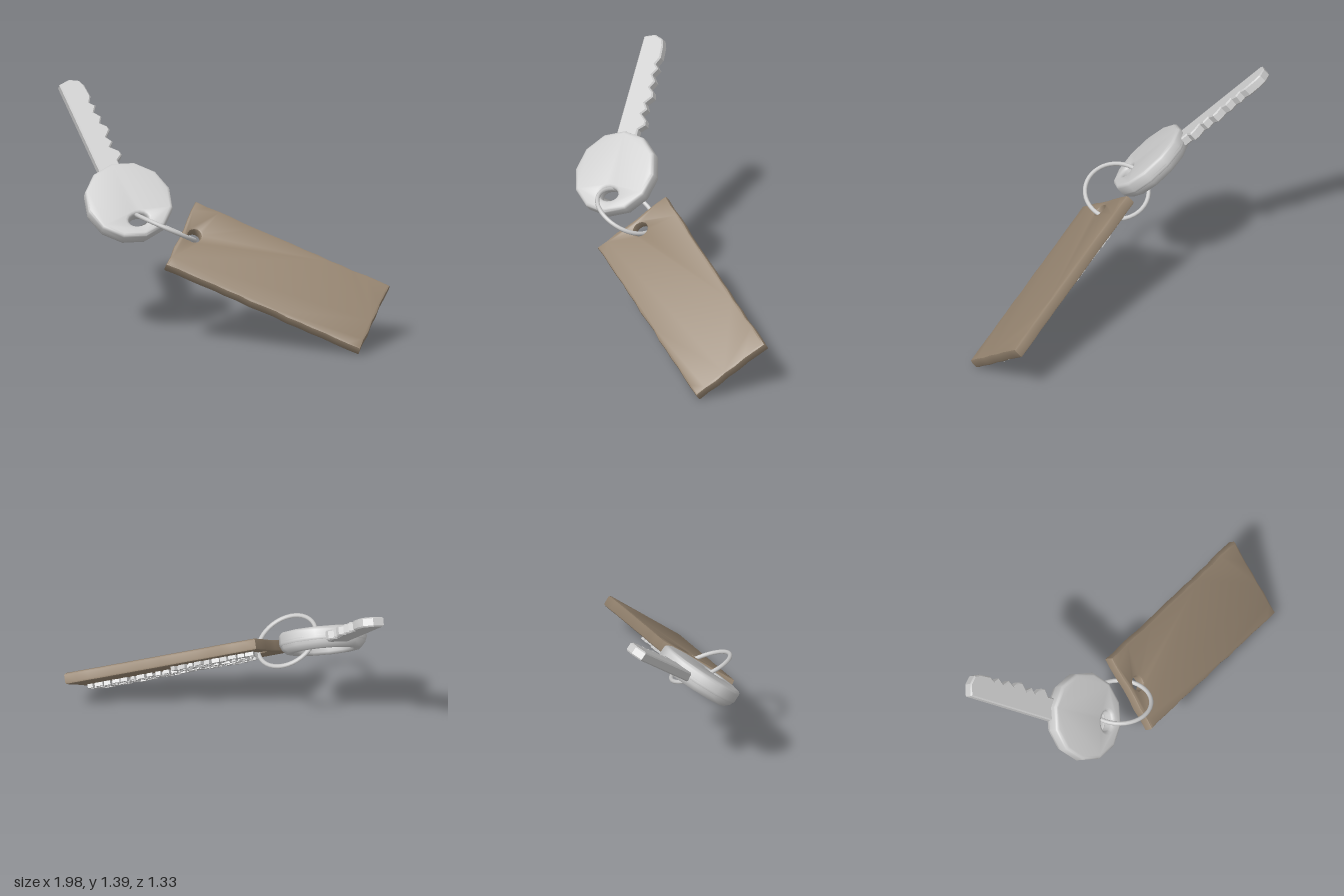
import * as THREE from 'three';
import { toCreasedNormals } from 'three/addons/utils/BufferGeometryUtils.js';

const metal = new THREE.MeshStandardMaterial({ color: 0xcccccc, side: THREE.DoubleSide });
metal.name = 'light metal';
const leather = new THREE.MeshStandardMaterial({ color: 0x94836f });
leather.name = 'brown leather';

const V = (x, y, z) => new THREE.Vector3(x, y, z);

// Small seeded random source for worn edges
function seeded(seed) {
  return () => {
    seed = (seed * 16807) % 2147483647;
    return seed / 2147483647;
  };
}

// Places a group so its local y and z follow the given directions
function orient(group, origin, along, normal) {
  const y = along.clone().normalize();
  const x = new THREE.Vector3().crossVectors(y, normal).normalize();
  const z = new THREE.Vector3().crossVectors(x, y);
  group.quaternion.setFromRotationMatrix(new THREE.Matrix4().makeBasis(x, y, z));
  group.position.copy(origin);
  return group;
}

function add(group, name, geometry, material) {
  const mesh = new THREE.Mesh(geometry, material);
  mesh.name = name;
  group.add(mesh);
  return mesh;
}

// Bevelled plate from zMin to zMax whose widest outline is the shape itself
function plate(shape, zMin, zMax, bevel, steps, crease) {
  const g = new THREE.ExtrudeGeometry(shape, {
    depth: zMax - zMin - 2 * bevel, bevelEnabled: true, bevelThickness: bevel,
    bevelSize: bevel, bevelOffset: -bevel, bevelSegments: steps, curveSegments: 8,
  });
  g.translate(0, 0, zMin + bevel);
  return toCreasedNormals(g, crease);
}

function ovalHole(x, y, rx, ry) {
  return new THREE.Path().absellipse(x, y, rx, ry, 0, Math.PI * 2, true);
}

function makeKey() {
  const key = new THREE.Group();
  key.name = 'key';

  // Twelve-sided head with the ring hole
  const outline = [];
  for (let i = 0; i < 12; i++) {
    const a = (i / 12) * Math.PI * 2;
    outline.push(new THREE.Vector2(Math.cos(a) * 0.262, Math.sin(a) * 0.262));
  }
  const head = new THREE.Shape(outline);
  head.holes.push(ovalHole(0.0, -0.145, 0.062, 0.042));
  add(key, 'keyHead', plate(head, -0.025, 0.06, 0.02, 3, 0.7), metal);

  // Rounded rim around the hollow underside
  const profile = [[0.16, -0.01], [0.165, -0.05], [0.185, -0.065], [0.222, -0.062], [0.25, -0.035], [0.262, 0.0], [0.262, 0.01]];
  const rim = new THREE.LatheGeometry(profile.map(([r, y]) => new THREE.Vector2(r, y)), 12);
  rim.rotateX(Math.PI / 2);
  add(key, 'keyHeadRim', rim, metal);

  // Blade with a straight back and a cut edge
  const blade = new THREE.Shape();
  blade.moveTo(-0.075, 0.2);
  blade.lineTo(0.06, 0.2);
  const cuts = [
    [0.06, 0.29], [0.1, 0.32], [0.095, 0.35], [0.055, 0.39], [0.085, 0.42], [0.06, 0.46], [0.1, 0.5],
    [0.095, 0.53], [0.065, 0.56], [0.09, 0.6], [0.06, 0.64], [0.088, 0.68], [0.062, 0.71], [0.085, 0.75],
    [0.08, 0.83], [0.065, 0.87], [0.01, 0.895], [-0.06, 0.88],
  ];
  cuts.forEach(([x, y]) => blade.lineTo(x, y));
  blade.closePath();
  add(key, 'keyBlade', plate(blade, -0.04, 0.018, 0.008, 1, 0.5), metal);

  return orient(key, V(-0.31, 0.78, 0.41), V(-0.735, 0.667, -0.124), V(0.57, 0.75, 0.33));
}

function makeTag() {
  const tag = new THREE.Group();
  tag.name = 'tag';
  const W = 0.51, L = 1.25, T = 0.068;
  const random = seeded(17);

  // Worn rectangular outline
  const corners = [[0, 0], [W, 0], [W, L], [0, L]];
  const points = [];
  corners.forEach(([x, y], i) => {
    const [nx, ny] = corners[(i + 1) % 4];
    const n = i % 2 ? 16 : 7;
    for (let j = 0; j < n; j++) {
      const t = j / n;
      const inset = j === 0 ? 0.003 : random() * 0.009;
      const px = x + (nx - x) * t, py = y + (ny - y) * t;
      points.push(new THREE.Vector2(
        THREE.MathUtils.clamp(px, inset, W - inset),
        THREE.MathUtils.clamp(py, inset, L - inset)));
    }
  });
  const body = new THREE.Shape(points);
  body.holes.push(ovalHole(0.235, 0.082, 0.045, 0.04));
  add(tag, 'tagBody', plate(body, -T, 0, 0.013, 2, 0.6), leather);

  // Irregular raised metal studs in two bands on the underside
  const bands = [[0.21, 0.4, 0.17, 1.17], [0.07, 0.18, 0.06, 0.56]];
  bands.forEach(([x0, x1, y0, y1]) => {
    for (let y = y0; y < y1; y += 0.055) {
      for (let x = x0; x < x1 - 0.02; x += 0.05) {
        const w = 0.025 + random() * 0.025, l = 0.025 + random() * 0.025;
        const stud = add(tag, 'undersideStud', new THREE.BoxGeometry(w, l, 0.03), metal);
        stud.position.set(x + 0.025, y + 0.027, -T - 0.004 - random() * 0.007);
        stud.rotation.z = (random() - 0.5) * 0.5;
      }
    }
  });

  return orient(tag, V(-0.07, 0.795, 0.09), V(0.716, -0.374, -0.589), V(0.618, 0.733, 0.285));
}

export function createModel() {
  const model = new THREE.Group();
  model.name = 'keyWithTag';
  model.add(makeKey(), makeTag());

  // Split ring joining the key and the tag
  const ring = add(model, 'keyRing', new THREE.TorusGeometry(0.187, 0.013, 8, 40), metal);
  ring.position.set(-0.07, 0.67, 0.325);
  ring.quaternion.setFromUnitVectors(V(0, 0, 1), V(0.1, 0.89, -0.45).normalize());

  return model;
}
